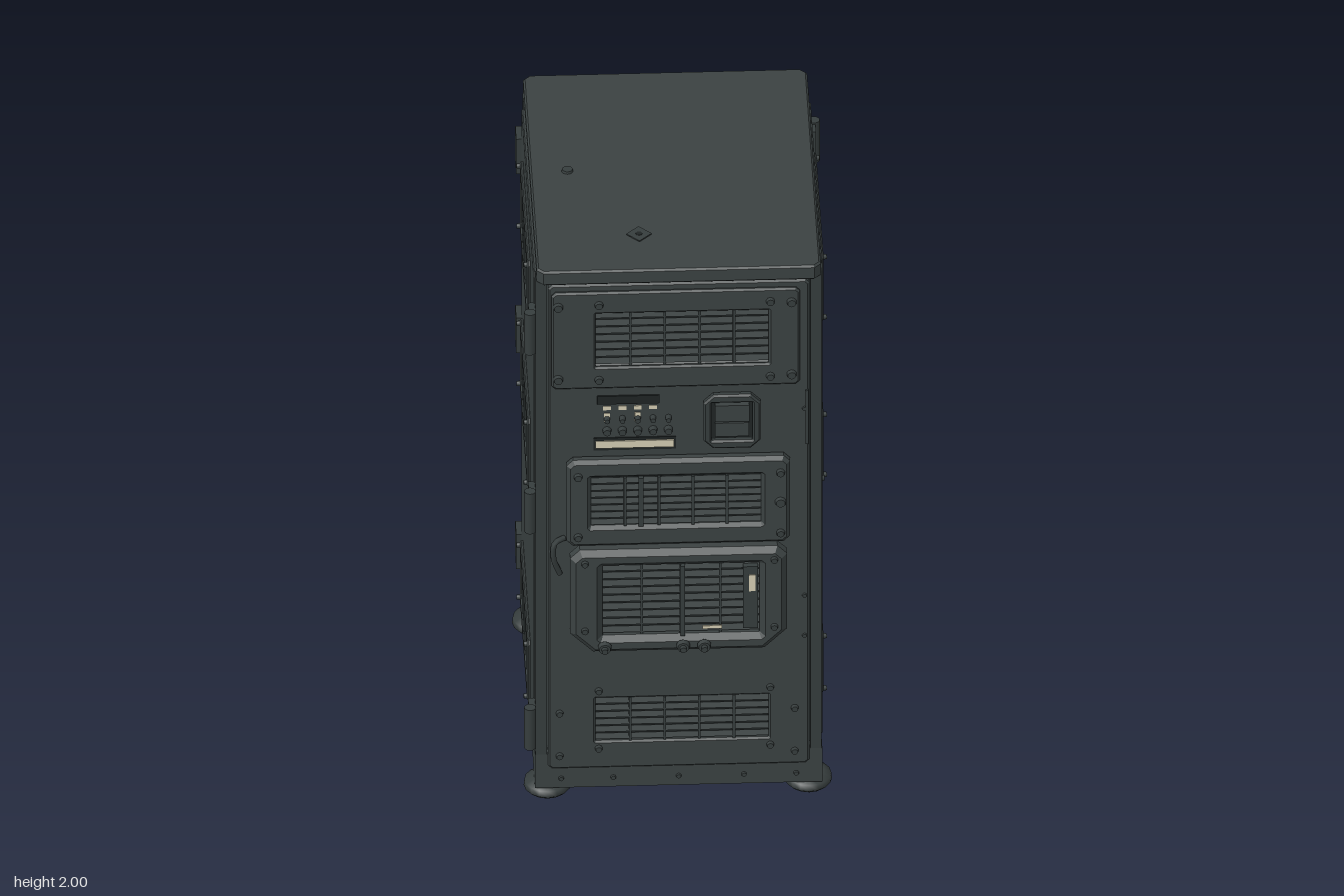
import * as THREE from 'three';

const body = new THREE.MeshStandardMaterial({ color: 0x3b4242 });
body.name = 'cabinet grey';
const trim = new THREE.MeshStandardMaterial({ color: 0x363d3d });
trim.name = 'trim grey';
const dark = new THREE.MeshStandardMaterial({ color: 0x202525 });
dark.name = 'recess dark';
const cream = new THREE.MeshStandardMaterial({ color: 0xd6cfb4 });
cream.name = 'label cream';

function add(parent, name, geometry, material, x = 0, y = 0, z = 0) {
  const mesh = new THREE.Mesh(geometry, material);
  mesh.name = name;
  mesh.position.set(x, y, z);
  parent.add(mesh);
  return mesh;
}

// Box given by its limits on each axis
function box(parent, name, mat, [x0, x1], [y0, y1], [z0, z1]) {
  return add(parent, name, new THREE.BoxGeometry(Math.abs(x1 - x0), y1 - y0, z1 - z0), mat,
    (x0 + x1) / 2, (y0 + y1) / 2, (z0 + z1) / 2);
}

// Rectangle with cut corners: cb at the bottom, ct at the top
function outline(Type, [x0, x1, y0, y1], cb = 0.001, ct = cb) {
  return new Type([[x0 + cb, y0], [x1 - cb, y0], [x1, y0 + cb], [x1, y1 - ct],
    [x1 - ct, y1], [x0 + ct, y1], [x0, y1 - ct], [x0, y0 + cb]].map(p => new THREE.Vector2(...p)));
}

// Sheet with openings, bevelled on its outer edge
function plate(parent, name, mat, rect, z0, z1, { cb = 0.012, ct = cb, holes = [], bevel = 0.006 } = {}) {
  const shape = outline(THREE.Shape, rect, cb, ct);
  for (const h of holes) shape.holes.push(outline(THREE.Path, h));
  const geometry = new THREE.ExtrudeGeometry(shape, {
    depth: z1 - z0 - bevel * 2, bevelEnabled: bevel > 0, bevelThickness: bevel,
    bevelSize: bevel, bevelOffset: -bevel, bevelSegments: 1,
  });
  return add(parent, name, geometry, mat, 0, 0, z0 + bevel);
}

// Ventilation grille: dark backing, tilted slats and upright bars
function grille(parent, [x0, x1, y0, y1], zBack, zSlat, slats = 7, bars = 4, thick = 0.006) {
  const g = new THREE.Group();
  g.name = 'ventGrille';
  parent.add(g);
  box(g, 'ventBacking', dark, [x0, x1], [y0, y1], [zBack, zBack + 0.004]);
  const step = (y1 - y0) / slats;
  for (let i = 0; i < slats; i++) {
    const slat = add(g, 'slat', new THREE.BoxGeometry(x1 - x0, step * 0.7, thick), body,
      (x0 + x1) / 2, y0 + (i + 0.5) * step, zSlat);
    slat.rotation.x = -0.35;
  }
  for (let i = 1; i <= bars; i++) {
    const x = x0 + (x1 - x0) * i / (bars + 1);
    box(g, 'uprightBar', trim, [x - 0.004, x + 0.004], [y0, y1], [zSlat - 0.004, zSlat + 0.009]);
  }
}

function bolt(parent, x, y, z, r = 0.013, length = 0.012) {
  const geometry = new THREE.CylinderGeometry(r * 0.8, r, length, 10).rotateX(Math.PI / 2);
  add(parent, 'bolt', geometry, trim, x, y, z + length / 2);
}

function cornerBolts(parent, [x0, x1, y0, y1], z, r) {
  for (const x of [x0, x1]) for (const y of [y0, y1]) bolt(parent, x, y, z, r);
}

// Door with its four ventilated covers; s mirrors the sideways layout
function door(s) {
  const g = new THREE.Group();
  const flip = ([x0, x1, y0, y1]) => s > 0 ? [x0, x1, y0, y1] : [-x1, -x0, y0, y1];
  const top = flip([-0.255, 0.275, 1.63, 1.83]);
  const low = flip([-0.255, 0.275, 0.22, 0.38]);
  const mid = flip([-0.27, 0.25, 1.05, 1.23]);
  const fan = flip([-0.235, 0.245, 0.65, 0.91]);
  plate(g, 'doorPanel', body, [-0.4, 0.4, 0.12, 1.93], 0.452, 0.505, { holes: [top, low] });
  plate(g, 'upperCover', body, flip([-0.39, 0.37, 1.55, 1.91]), 0.503, 0.52, { holes: [top] });
  grille(g, top, 0.46, 0.502);
  grille(g, low, 0.46, 0.494, 6);
  cornerBolts(g, flip([-0.37, 0.345, 1.59, 1.86]), 0.519, 0.016);
  cornerBolts(g, flip([-0.245, 0.28, 1.585, 1.865]), 0.519, 0.014);
  cornerBolts(g, flip([-0.365, 0.355, 0.17, 0.33]), 0.504, 0.012);
  cornerBolts(g, flip([-0.245, 0.28, 0.195, 0.41]), 0.504, 0.012);

  plate(g, 'middleCover', body, flip([-0.345, 0.34, 0.975, 1.295]), 0.503, 0.545,
    { holes: [mid], cb: 0.02, bevel: 0.012 });
  grille(g, mid, 0.506, 0.532);
  box(g, 'grilleDivider', trim, [s * -0.125, s * -0.11], [1.05, 1.23], [0.52, 0.546]);
  cornerBolts(g, flip([-0.31, 0.31, 1.015, 1.24]), 0.544, 0.014);
  bolt(g, s * 0.31, 1.13, 0.544, 0.018);

  // Deep fan cover with cut lower corners
  plate(g, 'fanCover', body, flip([-0.335, 0.33, 0.59, 0.97]), 0.503, 0.568,
    { holes: [fan], cb: 0.07, ct: 0.03, bevel: 0.018 });
  grille(g, fan, 0.506, 0.54, 9, 3);
  box(g, 'fanDivider', trim, [s * 0.003, s * 0.017], [0.65, 0.91], [0.52, 0.565]);
  box(g, 'fanSwitchBox', trim, [s * 0.195, s * 0.24], [0.67, 0.9], [0.52, 0.56]);
  box(g, 'fanLabel', cream, [s * 0.213, s * 0.232], [0.81, 0.87], [0.56, 0.563]);
  box(g, 'fanLabel', cream, [s * 0.07, s * 0.13], [0.672, 0.683], [0.556, 0.561]);
  cornerBolts(g, flip([-0.29, 0.29, 0.68, 0.93]), 0.566, 0.012);
  for (const x of s > 0 ? [-0.23, 0.01, 0.075] : [-0.01]) {
    bolt(g, x, 0.625, 0.565, 0.012, 0.042);
    bolt(g, x, 0.625, 0.58, 0.022, 0.014);
  }
  // Small fasteners on the door margins and base
  for (const y of [0.6, 0.75, 1.45]) bolt(g, s * 0.385, y, 0.504, 0.008, 0.006);
  for (const x of [-0.36, -0.2, 0, 0.2, 0.36]) bolt(g, x, 0.08, 0.496, 0.009, 0.007);
  return g;
}

// Switches and socket on the front door only
function controls(parent) {
  const g = new THREE.Group();
  g.name = 'controlPanel';
  parent.add(g);
  box(g, 'indicatorStrip', dark, [-0.25, -0.06], [1.485, 1.515], [0.504, 0.51]);
  box(g, 'controlLabel', cream, [-0.255, -0.015], [1.322, 1.348], [0.505, 0.512]);
  box(g, 'controlLabelFrame', dark, [-0.262, -0.008], [1.312, 1.358], [0.503, 0.508]);
  for (let i = 0; i < 5; i++) {
    const x = -0.22 + i * 0.047;
    if (i < 4) box(g, 'switchLabel', cream, [x - 0.012, x + 0.012], [1.462, 1.476], [0.504, 0.508]);
    if (i % 2 === 0 && i < 4) box(g, 'switchLabel', cream, [x - 0.009, x + 0.009], [1.418, 1.45], [0.504, 0.508]);
    bolt(g, x, 1.43, 0.504, 0.01, 0.022);
    bolt(g, x, 1.385, 0.504, 0.014, 0.018);
  }
  plate(g, 'socketFrame', trim, [0.075, 0.25, 1.32, 1.52], 0.503, 0.528,
    { cb: 0.03, holes: [[0.1, 0.225, 1.35, 1.49]] });
  box(g, 'socketRecess', dark, [0.1, 0.225], [1.35, 1.49], [0.503, 0.508]);
  box(g, 'socketFlap', body, [0.11, 0.215], [1.42, 1.48], [0.506, 0.525]);
  box(g, 'socketFlap', body, [0.11, 0.215], [1.36, 1.41], [0.506, 0.518]);
  const hook = new THREE.CatmullRomCurve3([[-0.35, 0.99, 0.51], [-0.38, 0.985, 0.53],
    [-0.385, 0.93, 0.53], [-0.365, 0.86, 0.515]].map(p => new THREE.Vector3(...p)));
  add(g, 'doorHandle', new THREE.TubeGeometry(hook, 12, 0.009, 8), trim);
  box(g, 'doorStay', trim, [0.388, 0.397], [1.32, 1.52], [0.503, 0.512]);
}

// Side wall with three framed grilles
function side(s) {
  const g = new THREE.Group();
  const flip = ([a, b, y0, y1]) => s > 0 ? [a, b, y0, y1] : [-b, -a, y0, y1];
  const vents = [[1.62, 1.80], [1.03, 1.21], [0.23, 0.38]].map(v => flip([-0.22, 0.27, ...v]));
  plate(g, 'sidePanel', body, flip([-0.44, 0.45, 0.175, 1.93]), 0.42, 0.443, { holes: vents, bevel: 0.004 });
  for (const v of vents) {
    const rim = [v[0] - 0.03, v[1] + 0.035, v[2] - 0.035, v[3] + 0.04];
    plate(g, 'ventFrame', body, rim, 0.441, 0.454, { holes: [v], bevel: 0.004 });
    grille(g, v, 0.426, 0.443);
    cornerBolts(g, [rim[0] + 0.015, rim[1] - 0.015, rim[2] + 0.015, rim[3] - 0.015], 0.452, 0.009);
  }
  bolt(g, s * -0.41, 1.12, 0.442, 0.01, 0.008);
  return g;
}

export function createModel() {
  const model = new THREE.Group();
  model.name = 'ventilatedCabinet';

  // Carcass, base and corner posts
  box(model, 'carcass', body, [-0.42, 0.42], [0.1, 1.945], [-0.452, 0.452]);
  box(model, 'base', body, [-0.44, 0.44], [0.045, 0.17], [-0.497, 0.497]);
  for (const x of [-1, 1]) for (const z of [-1, 1]) {
    box(model, 'cornerPost', trim, [x * 0.403, x * 0.438], [0.17, 1.945], z > 0 ? [0.445, 0.497] : [-0.497, -0.455]);
    const profile = [[0, 0], [0.06, 0], [0.072, 0.012], [0.07, 0.032], [0.045, 0.045], [0, 0.048]];
    add(model, 'foot', new THREE.LatheGeometry(profile.map(p => new THREE.Vector2(...p)), 16), trim,
      x * 0.4, 0, z * 0.43);
  }

  // Overhanging lid with its small fittings
  const lid = plate(model, 'lid', body, [-0.435, 0.435, -0.52, 0.53], 0, 0.052, { cb: 0.02 });
  lid.rotation.x = -Math.PI / 2;
  lid.position.set(0, 1.946, 0);
  add(model, 'lidPlug', new THREE.CylinderGeometry(0.016, 0.018, 0.01, 14), trim, -0.32, 1.995, -0.015);
  const tag = add(model, 'lidTag', new THREE.BoxGeometry(0.055, 0.004, 0.055), trim, -0.115, 1.997, 0.335);
  tag.rotation.y = Math.PI / 4;
  add(model, 'lidTagRivet', new THREE.CylinderGeometry(0.01, 0.012, 0.004, 10), dark, -0.115, 1.998, 0.335);

  // Doors front and back, mirrored
  const front = door(1);
  front.name = 'frontDoor';
  controls(front);
  const back = door(-1);
  back.name = 'backDoor';
  back.rotation.y = Math.PI;
  // Sides
  const left = side(1);
  left.name = 'leftSide';
  left.rotation.y = Math.PI / 2;
  const right = side(-1);
  right.name = 'rightSide';
  right.rotation.y = -Math.PI / 2;
  model.add(front, back, left, right);

  // Hinges on two opposite corners, latches on a third
  for (const y of [0.27, 1.08, 1.75]) {
    for (const d of [1, -1]) {
      add(model, 'hingePin', new THREE.CylinderGeometry(0.018, 0.018, 0.15, 12), trim, d * 0.455, y, d * -0.492);
      add(model, 'hingeLeaf', new THREE.BoxGeometry(0.022, 0.14, 0.06), trim, d * 0.448, y, d * -0.465);
    }
    add(model, 'latch', new THREE.BoxGeometry(0.024, 0.13, 0.07), trim, -0.447, y, -0.475);
  }
  return model;
}
